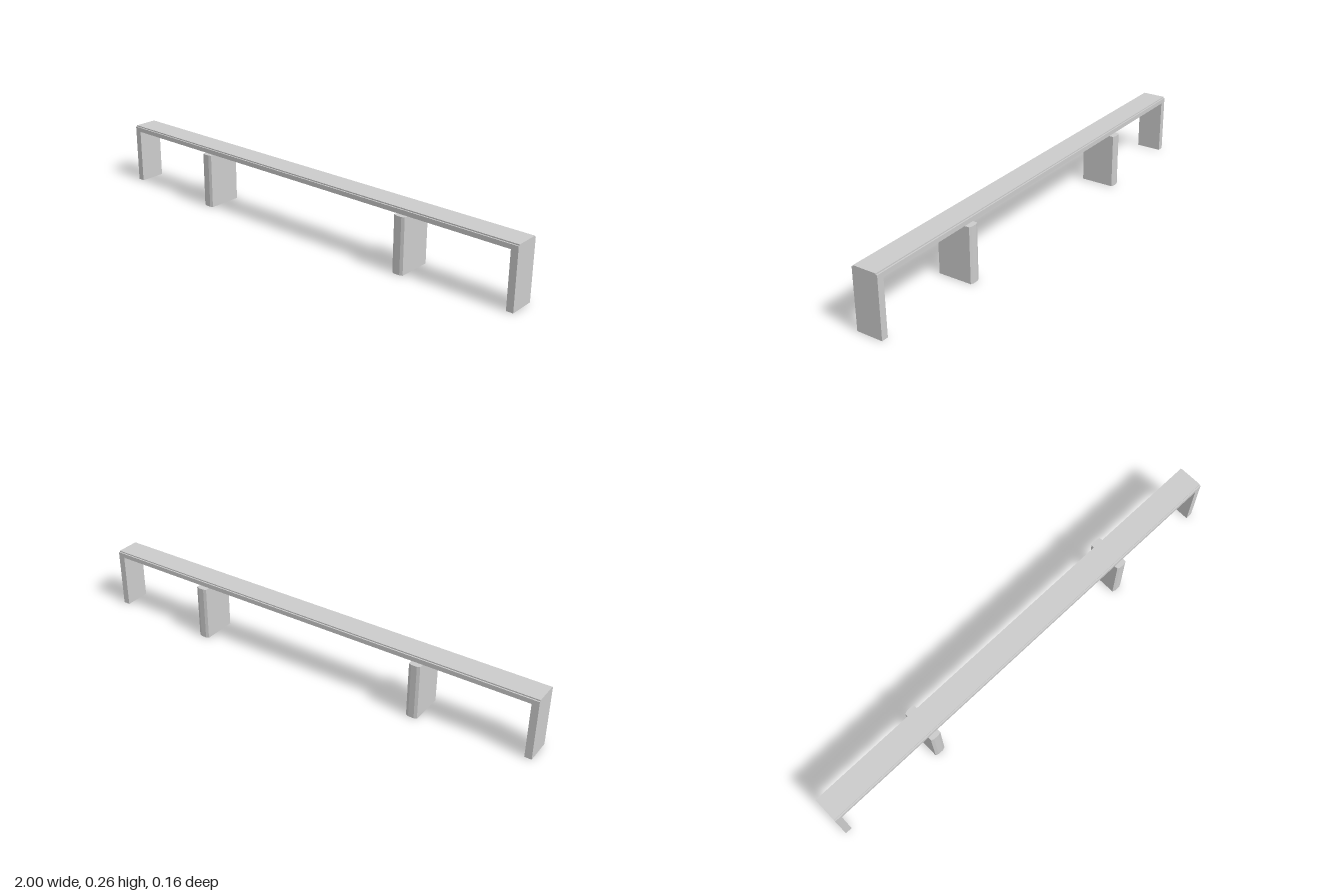
import * as THREE from 'three';

const material = new THREE.MeshStandardMaterial({ color: 0xcccccc, flatShading: true });

function polygon(points) {
  return new THREE.Shape(points.map(([x, y]) => new THREE.Vector2(x, y)));
}

function addMesh(group, name, geometry) {
  const mesh = new THREE.Mesh(geometry, material);
  mesh.name = name;
  group.add(mesh);
  return mesh;
}

export function createModel() {
  const group = new THREE.Group();
  group.name = 'bridge';

  // Beam and the two end walls as one continuous frame
  const front = 0.058, back = -0.054;
  const beamTop = 0.254, beamBottom = 0.235, wallInner = 0.971;
  const frame = new THREE.ExtrudeGeometry(polygon([
    [-1, 0], [-wallInner, 0], [-wallInner, beamBottom], [wallInner, beamBottom],
    [wallInner, 0], [1, 0], [1, beamTop], [-1, beamTop],
  ]), { depth: front - back, bevelEnabled: false });
  frame.translate(0, 0, back);
  addMesh(group, 'beamWithEndWalls', frame);

  // Slightly narrower road surface on top of the beam
  const road = addMesh(group, 'roadSurface', new THREE.BoxGeometry(2, 0.005, 0.1));
  road.position.set(0, beamTop + 0.0025, 0.002);

  // Piers with chamfered noses at both ends
  const halfWidth = 0.024, noseHalf = 0.012, shoulder = 0.073, nose = 0.078;
  const plan = polygon([
    [-noseHalf, -nose], [noseHalf, -nose], [halfWidth, -shoulder], [halfWidth, shoulder],
    [noseHalf, nose], [-noseHalf, nose], [-halfWidth, shoulder], [-halfWidth, -shoulder],
  ]);
  for (const side of [-1, 1]) {
    const pier = new THREE.ExtrudeGeometry(plan, { depth: beamBottom, bevelEnabled: false });
    pier.rotateX(-Math.PI / 2);
    const mesh = addMesh(group, side > 0 ? 'leftPier' : 'rightPier', pier);
    mesh.position.x = side * 0.512;
  }

  return group;
}
